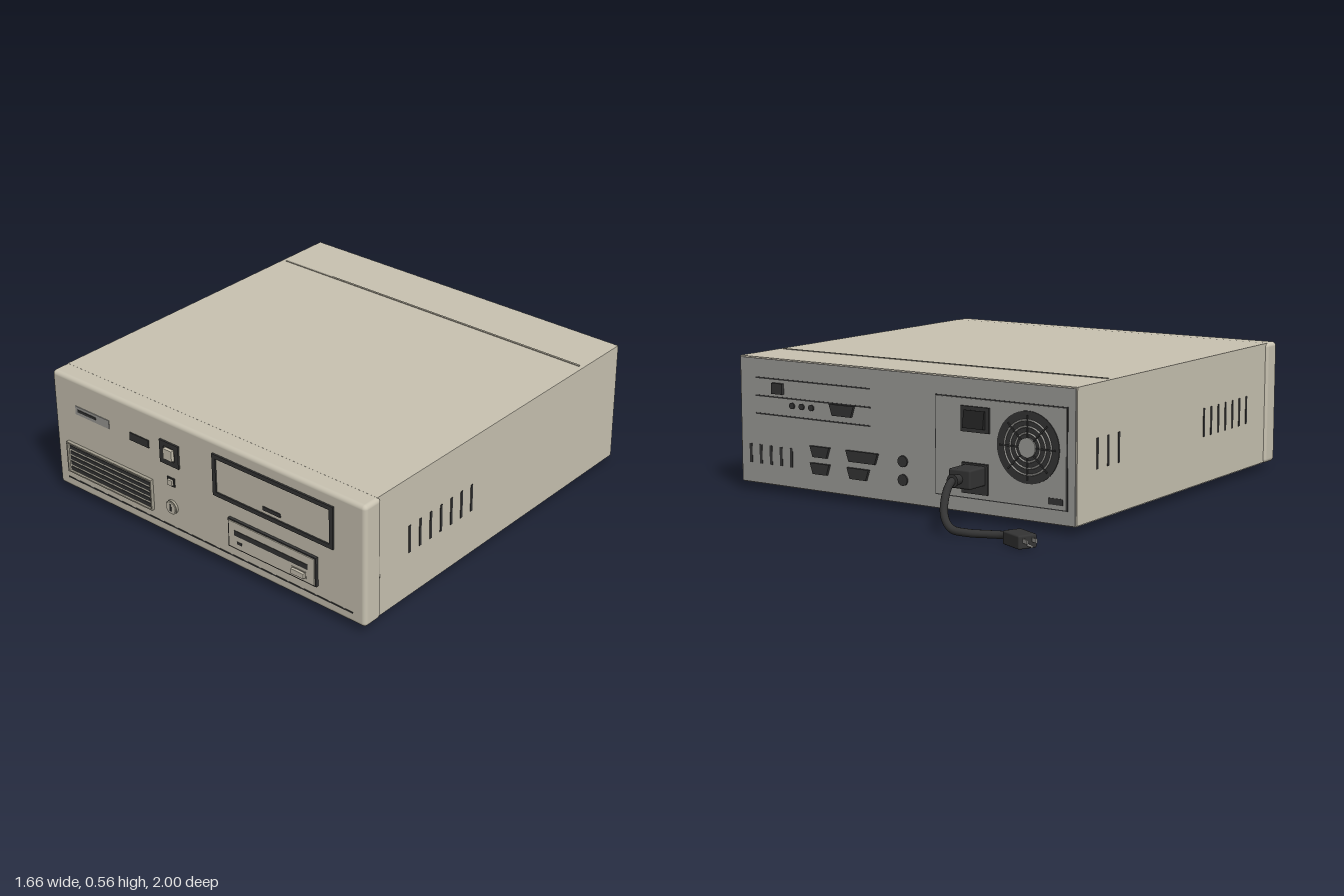
import * as THREE from 'three';
import { RoundedBoxGeometry } from 'three/addons/geometries/RoundedBoxGeometry.js';

const mat = (color) => new THREE.MeshStandardMaterial({ color, roughness: 0.8 });
const BEIGE = mat(0xc9c3b2), SHADE = mat(0xa29d8e), GREY = mat(0x9b9a96), DARK = mat(0x343434), BLACK = mat(0x242424);

export function createModel() {
  const model = new THREE.Group();

  const group = (name) => {
    const g = new THREE.Group();
    g.name = name;
    model.add(g);
    return g;
  };
  const add = (parent, name, geometry, material, x = 0, y = 0, z = 0) => {
    const mesh = new THREE.Mesh(geometry, material);
    mesh.name = name;
    mesh.position.set(x, y, z);
    parent.add(mesh);
    return mesh;
  };
  // Box given by its extents
  const box = (parent, name, material, x0, x1, y0, y1, z0, z1) =>
    add(parent, name, new THREE.BoxGeometry(x1 - x0, y1 - y0, z1 - z0), material, (x0 + x1) / 2, (y0 + y1) / 2, (z0 + z1) / 2);
  // Rectangular frame with an opening, t wide
  const frame = (parent, name, material, x0, x1, y0, y1, z0, z1, t) => {
    const rect = (s, a, b, c, d) => s.moveTo(a, c).lineTo(b, c).lineTo(b, d).lineTo(a, d).closePath();
    const shape = rect(new THREE.Shape(), x0, x1, y0, y1);
    shape.holes.push(rect(new THREE.Path(), x0 + t, x1 - t, y0 + t, y1 - t));
    return add(parent, name, new THREE.ExtrudeGeometry(shape, { depth: z1 - z0, bevelEnabled: false }), material, 0, 0, z0);
  };
  // Disc facing along z
  const disc = (parent, name, material, r, depth, x, y, z, sides = 32) =>
    add(parent, name, new THREE.CylinderGeometry(r, r, depth, sides).rotateX(Math.PI / 2), material, x, y, z);

  // Case: cover, chassis panels, bezel
  const body = group('case');
  box(body, 'cover', BEIGE, -0.82, 0.82, 0.035, 0.56, -0.685, 0.89);
  box(body, 'bottomPanel', GREY, -0.815, 0.815, 0.03, 0.036, -0.685, 0.88);
  box(body, 'backPanel', GREY, -0.815, 0.815, 0.033, 0.555, -0.69, -0.684);
  box(body, 'topSeam', SHADE, -0.8, 0.8, 0.555, 0.563, -0.435, -0.425);
  add(body, 'bezel', new RoundedBoxGeometry(1.66, 0.53, 0.095, 4, 0.018), BEIGE, 0, 0.295, 0.9225);
  box(body, 'bezelGroove', DARK, -0.775, 0.77, 0.072, 0.079, 0.96, 0.971);

  // Side vents, with a short extra row at the rear of the right side
  const vents = group('sideVents');
  const sideSlot = (side, z) =>
    box(vents, 'sideVentSlot', DARK, side * 0.8205 - 0.002, side * 0.8205 + 0.002, 0.23, 0.35, z - 0.006, z + 0.006);
  for (let i = 0; i < 7; i++) for (const side of [-1, 1]) sideSlot(side, 0.315 + i * 0.064);
  for (let i = 0; i < 3; i++) sideSlot(-1, -0.54 + i * 0.08);

  // Feet
  const feet = group('feet');
  for (const x of [-0.68, 0.68]) for (const z of [-0.49, 0.78])
    box(feet, 'foot', DARK, x - 0.04, x + 0.04, 0, 0.032, z - 0.04, z + 0.04);

  // Front intake grille
  const grille = group('frontGrille');
  frame(grille, 'grilleFrame', SHADE, -0.76, -0.27, 0.115, 0.255, 0.965, 0.985, 0.006);
  box(grille, 'grillePlate', BEIGE, -0.755, -0.275, 0.12, 0.25, 0.965, 0.976);
  for (let i = 0; i < 5; i++)
    box(grille, 'grilleSlot', DARK, -0.745, -0.283, 0.125 + i * 0.0245, 0.141 + i * 0.0245, 0.97, 0.979);

  // Indicators, buttons and lock
  const controls = group('frontControls');
  box(controls, 'badgePlate', GREY, -0.7, -0.505, 0.4, 0.438, 0.965, 0.973);
  box(controls, 'badgeStrip', DARK, -0.685, -0.58, 0.415, 0.426, 0.965, 0.976);
  box(controls, 'indicatorWindow', DARK, -0.385, -0.28, 0.396, 0.43, 0.965, 0.975);
  frame(controls, 'powerFrame', DARK, -0.215, -0.113, 0.362, 0.464, 0.965, 0.978, 0.022);
  box(controls, 'powerRecess', SHADE, -0.195, -0.133, 0.382, 0.444, 0.965, 0.973);
  box(controls, 'powerButton', BEIGE, -0.187, -0.141, 0.39, 0.436, 0.965, 0.987);
  frame(controls, 'resetFrame', DARK, -0.184, -0.144, 0.267, 0.305, 0.965, 0.975, 0.006);
  box(controls, 'resetButton', BEIGE, -0.176, -0.152, 0.274, 0.298, 0.965, 0.983);
  disc(controls, 'lockRim', SHADE, 0.03, 0.016, -0.164, 0.17, 0.972);
  disc(controls, 'lockFace', BEIGE, 0.025, 0.02, -0.164, 0.17, 0.973);
  box(controls, 'keySlot', DARK, -0.168, -0.16, 0.155, 0.186, 0.97, 0.985);

  // Large drive bay
  const bay = group('driveBay');
  frame(bay, 'bayFrame', DARK, 0.07, 0.68, 0.32, 0.505, 0.965, 0.978, 0.018);
  box(bay, 'bayCover', BEIGE, 0.09, 0.66, 0.34, 0.486, 0.965, 0.974);
  box(bay, 'bayHandle', DARK, 0.33, 0.42, 0.355, 0.371, 0.965, 0.978);

  // Floppy drive
  const floppy = group('floppyDrive');
  box(floppy, 'floppySurround', DARK, 0.15, 0.6, 0.123, 0.252, 0.965, 0.983);
  box(floppy, 'floppyFace', BEIGE, 0.156, 0.594, 0.129, 0.246, 0.965, 0.987);
  box(floppy, 'diskSlot', DARK, 0.187, 0.563, 0.188, 0.211, 0.965, 0.989);
  box(floppy, 'driveLight', DARK, 0.2, 0.226, 0.153, 0.164, 0.965, 0.989);
  box(floppy, 'ejectSurround', SHADE, 0.483, 0.555, 0.143, 0.173, 0.965, 0.989);
  box(floppy, 'ejectButton', BEIGE, 0.488, 0.55, 0.147, 0.169, 0.965, 1);

  // Rear expansion slots and ports
  const rear = group('rearPorts');
  for (const y of [0.475, 0.4, 0.325]) box(rear, 'slotLine', DARK, 0.14, 0.735, y - 0.003, y + 0.003, -0.692, -0.688);
  for (let i = 0; i < 5; i++) {
    const x = 0.55 + i * 0.054;
    box(rear, 'rearVentSlot', DARK, x - 0.007, x + 0.007, 0.115, 0.195, -0.692, -0.688);
  }
  // D-shaped connector, wider at the top
  const port = (x, y, w, h) => {
    const s = new THREE.Shape();
    s.moveTo(x - w / 2 + 0.015, y - h / 2).lineTo(x + w / 2 - 0.015, y - h / 2);
    s.lineTo(x + w / 2, y + h / 2).lineTo(x - w / 2, y + h / 2).closePath();
    add(rear, 'connector', new THREE.ExtrudeGeometry(s, { depth: 0.014, bevelEnabled: false }), DARK, 0, 0, -0.702);
  };
  port(0.28, 0.375, 0.125, 0.046);
  port(0.395, 0.195, 0.1, 0.045);
  port(0.395, 0.125, 0.1, 0.045);
  port(0.18, 0.195, 0.16, 0.045);
  port(0.2, 0.125, 0.11, 0.045);
  box(rear, 'networkSocket', DARK, 0.585, 0.64, 0.415, 0.46, -0.705, -0.688);
  for (const x of [0.54, 0.49, 0.44]) disc(rear, 'audioJack', DARK, 0.013, 0.012, x, 0.372, -0.691, 16);
  for (const y of [0.2, 0.125]) disc(rear, 'roundPort', DARK, 0.023, 0.012, -0.02, y, -0.691, 20);

  // Power supply with fan, switch and inlet
  const psu = group('powerSupply');
  box(psu, 'supplyOutline', DARK, -0.783, -0.177, 0.087, 0.483, -0.692, -0.688);
  box(psu, 'supplyPlate', GREY, -0.778, -0.182, 0.092, 0.478, -0.695, -0.688);
  disc(psu, 'fanOpening', DARK, 0.14, 0.008, -0.61, 0.315, -0.695, 40);
  for (const r of [0.055, 0.08, 0.105])
    add(psu, 'fanRing', new THREE.TorusGeometry(r, 0.004, 6, 40), GREY, -0.61, 0.315, -0.7);
  for (let i = 0; i < 4; i++)
    add(psu, 'fanSpoke', new THREE.BoxGeometry(0.25, 0.006, 0.004), DARK, -0.61, 0.315, -0.703).rotation.z = (i * Math.PI) / 4;
  disc(psu, 'fanHub', GREY, 0.038, 0.01, -0.61, 0.315, -0.701);
  box(psu, 'switchBase', DARK, -0.435, -0.305, 0.35, 0.45, -0.703, -0.69);
  add(psu, 'switchRocker', new THREE.BoxGeometry(0.095, 0.07, 0.018), BLACK, -0.37, 0.4, -0.705).rotation.x = 0.14;
  box(psu, 'inletFlange', DARK, -0.43, -0.31, 0.11, 0.23, -0.705, -0.69);
  box(psu, 'ratingLabel', DARK, -0.765, -0.7, 0.108, 0.133, -0.697, -0.69);

  // Power cord lying to the right behind the case
  const cord = group('powerCord');
  add(cord, 'inletPlug', new RoundedBoxGeometry(0.1, 0.076, 0.11, 2, 0.008), DARK, -0.37, 0.185, -0.752);
  add(cord, 'strainRelief', new THREE.CylinderGeometry(0.026, 0.018, 0.05, 16).rotateX(-Math.PI / 2), DARK, -0.368, 0.185, -0.825);
  const path = new THREE.CatmullRomCurve3([
    [-0.368, 0.185, -0.8], [-0.367, 0.182, -0.855], [-0.373, 0.14, -0.9], [-0.392, 0.07, -0.936],
    [-0.435, 0.028, -0.952], [-0.5, 0.019, -0.943], [-0.58, 0.019, -0.918], [-0.64, 0.021, -0.907], [-0.7, 0.025, -0.928],
  ].map((p) => new THREE.Vector3(...p)));
  add(cord, 'cable', new THREE.TubeGeometry(path, 64, 0.0155, 12), DARK);

  // Wall plug with two flat blades and a round earth pin
  const plug = new THREE.Group();
  plug.name = 'wallPlug';
  plug.position.set(-0.735, 0.026, -0.945);
  plug.rotation.y = -0.44;
  cord.add(plug);
  add(plug, 'plugBody', new RoundedBoxGeometry(0.115, 0.052, 0.08, 2, 0.007), DARK);
  add(plug, 'plugNeck', new THREE.CylinderGeometry(0.018, 0.024, 0.035, 14).rotateZ(-Math.PI / 2), DARK, 0.068);
  for (const z of [-0.02, 0.02]) add(plug, 'plugBlade', new THREE.BoxGeometry(0.03, 0.016, 0.005), GREY, -0.07, 0.006, z);
  add(plug, 'earthPin', new THREE.CylinderGeometry(0.005, 0.005, 0.03, 10).rotateZ(Math.PI / 2), GREY, -0.07, -0.012, 0);

  return model;
}
